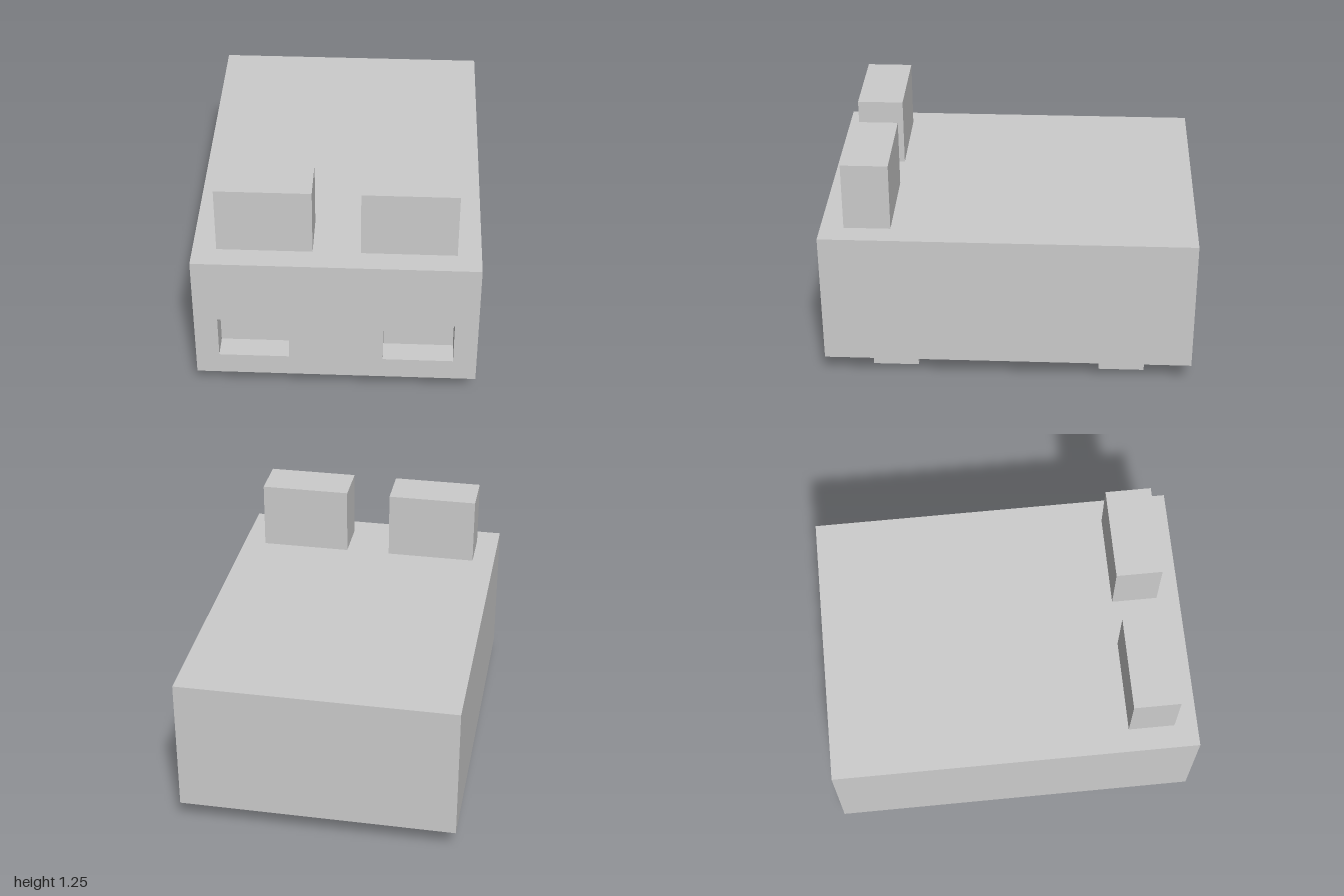
import * as THREE from 'three';

const material = new THREE.MeshStandardMaterial({ color: 0xcccccc });

function addMesh(parent, name, geometry, x = 0, y = 0, z = 0) {
  const mesh = new THREE.Mesh(geometry, material);
  mesh.name = name;
  mesh.position.set(x, y, z);
  parent.add(mesh);
  return mesh;
}

// Box missing one face (0..5 = +x, -x, +y, -y, +z, -z)
function openBox(w, h, d, face) {
  const geometry = new THREE.BoxGeometry(w, h, d);
  const index = Array.from(geometry.index.array);
  index.splice(face * 6, 6);
  geometry.setIndex(index);
  geometry.clearGroups();
  return geometry;
}

// Rectangle outline centred on (x, y)
function rectangle(x, y, w, h, PathType) {
  const path = new PathType();
  path.moveTo(x - w / 2, y - h / 2);
  path.lineTo(x + w / 2, y - h / 2);
  path.lineTo(x + w / 2, y + h / 2);
  path.lineTo(x - w / 2, y + h / 2);
  path.closePath();
  return path;
}

export function createModel() {
  const model = new THREE.Group();
  model.name = 'blockCreature';

  // Body shell, with a front face pierced by two eye sockets
  const body = new THREE.Group();
  body.name = 'body';
  model.add(body);
  addMesh(body, 'bodyShell', openBox(1.5, 0.75, 2, 4), 0, 0.5, 0);
  const face = rectangle(0, 0.5, 1.5, 0.75, THREE.Shape);

  for (const [side, sign] of [['left', 1], ['right', -1]]) {
    const eyeX = sign * 0.4375;
    face.holes.push(rectangle(eyeX, 0.375, 0.375, 0.25, THREE.Path));

    // Socket: a box open to the front, turned inside out
    const socket = openBox(0.375, 0.25, 0.125, 5).scale(1, 1, -1);
    socket.computeVertexNormals();
    addMesh(body, side + 'EyeSocket', socket, eyeX, 0.375, 0.9375);

    // Upright ear block
    addMesh(model, side + 'Ear', new THREE.BoxGeometry(0.5, 0.375, 0.25), sign * 0.375, 1.0625, 0.75);

    // Feet
    for (const [end, z] of [['Front', 0.625], ['Back', -0.625]]) {
      addMesh(model, side + end + 'Foot', new THREE.BoxGeometry(0.125, 0.125, 0.25), sign * 0.5625, 0.0625, z);
    }
  }
  addMesh(body, 'frontFace', new THREE.ShapeGeometry(face), 0, 0, 1);

  return model;
}
